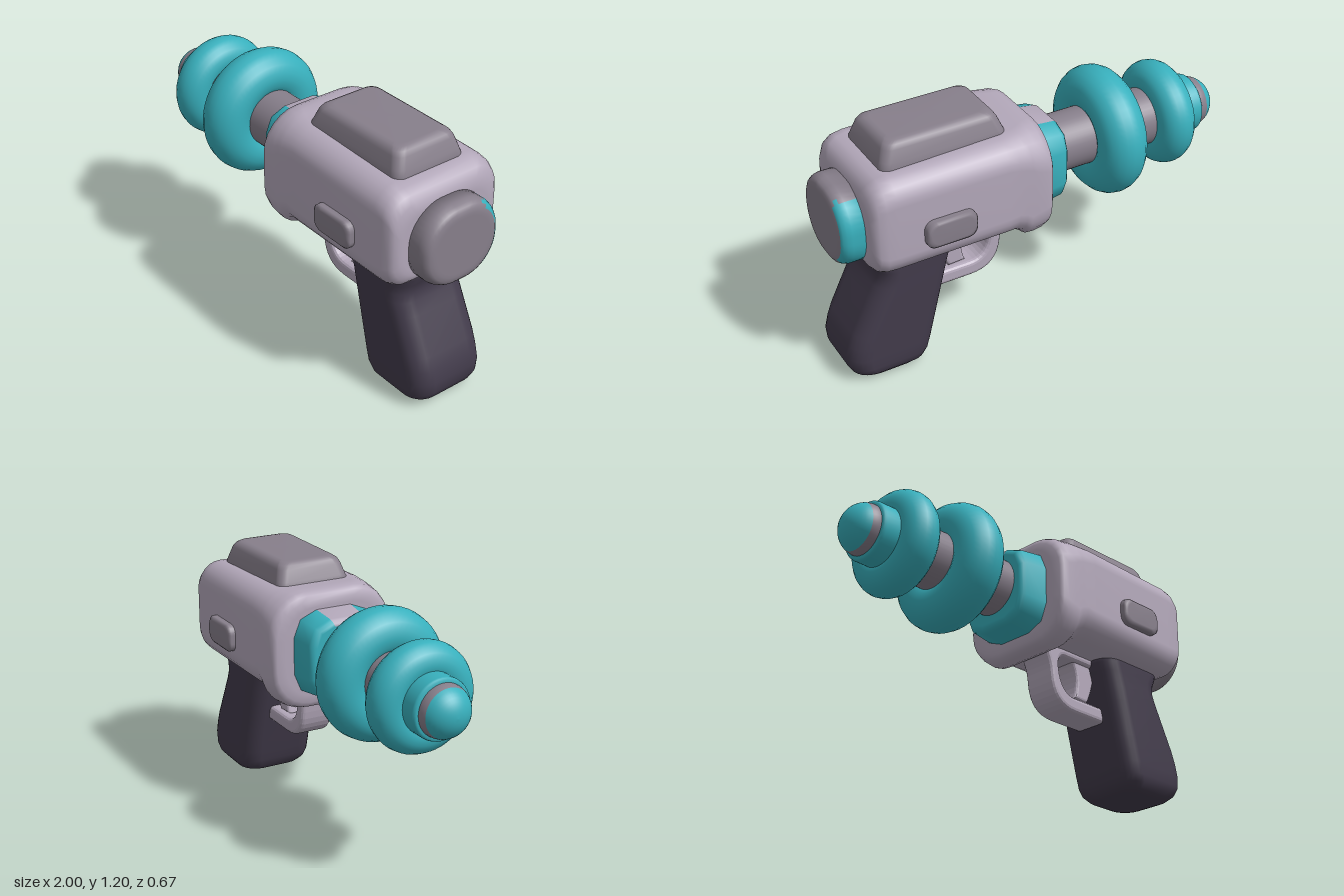
import * as THREE from 'three';

const mat = (name, color) => Object.assign(new THREE.MeshStandardMaterial({ color }), { name });

// Lofts rounded rectangles along an axis. Section: [t, a0, a1, b0, b1, cornerRadius].
// Axis x uses (a,b) = (y,z); axis y uses (z,x); axis z uses (x,y).
function loft(axis, sections, n = 6) {
  const pos = [], idx = [], m = 4 * (n + 1);
  const put = (t, a, b) => pos.push(...(axis === 'x' ? [t, a, b] : axis === 'y' ? [b, t, a] : [a, b, t]));
  for (const [t, a0, a1, b0, b1, rad] of sections) {
    const r = Math.min(rad, (a1 - a0) * 0.49, (b1 - b0) * 0.49);
    const corners = [[a1 - r, b1 - r], [a0 + r, b1 - r], [a0 + r, b0 + r], [a1 - r, b0 + r]];
    corners.forEach(([a, b], k) => {
      for (let i = 0; i <= n; i++) {
        const w = (k + i / n) * Math.PI / 2;
        put(t, a + r * Math.cos(w), b + r * Math.sin(w));
      }
    });
  }
  const last = sections.length - 1;
  for (let i = 0; i < last; i++) for (let j = 0; j < m; j++) {
    const p = i * m + j, q = i * m + (j + 1) % m;
    idx.push(p, q, q + m, p, q + m, p + m);
  }
  for (const [s, flip] of [[0, true], [last, false]]) {
    const [t, a0, a1, b0, b1] = sections[s], c = pos.length / 3;
    put(t, (a0 + a1) / 2, (b0 + b1) / 2);
    for (let j = 0; j < m; j++) {
      const p = s * m + j, q = s * m + (j + 1) % m;
      idx.push(c, flip ? q : p, flip ? p : q);
    }
  }
  const g = new THREE.BufferGeometry();
  g.setAttribute('position', new THREE.Float32BufferAttribute(pos, 3));
  g.setIndex(idx);
  g.computeVertexNormals();
  return g;
}

// Gives every quad material 1 where the rule holds for its centre, else material 0.
function paint(g, rule) {
  const p = g.attributes.position, v = new THREE.Vector3(), c = new THREE.Vector3();
  for (let i = 0; i < g.index.count; i += 6) {
    c.set(0, 0, 0);
    for (let k = 0; k < 6; k++) c.add(v.fromBufferAttribute(p, g.index.getX(i + k)));
    g.addGroup(i, 6, rule(c.divideScalar(6)) ? 1 : 0);
  }
  return g;
}

// Turned part along the barrel; points are [x, radius] from back to tip.
function turned(points) {
  const g = new THREE.LatheGeometry(points.map(([x, r]) => new THREE.Vector2(r, -x)), 40);
  return g.rotateZ(Math.PI / 2).translate(0, 0.838, 0);
}

// Flat side outline thickened across z with softened edges.
function slab(shape, halfZ, bevel) {
  const depth = 2 * (halfZ - bevel);
  return new THREE.ExtrudeGeometry(shape, {
    depth, bevelEnabled: true, bevelSize: bevel, bevelThickness: bevel, bevelOffset: -bevel,
    bevelSegments: 3, curveSegments: 8,
  }).translate(0, 0, -depth / 2);
}

export function createModel() {
  const group = new THREE.Group();
  const light = mat('paleMauve', 0xb3a8ba);
  const grey = mat('warmGrey', 0x877f8b);
  const teal = mat('teal', 0x38b0bd);
  const dark = mat('darkPlum', 0x423b4b);
  const add = (name, geo, material) => {
    const mesh = new THREE.Mesh(geo, material);
    mesh.name = name;
    group.add(mesh);
  };

  // Main housing, with a deeper lip at the front end
  add('body', loft('x', [
    [0.024, 0.62, 1.04, 0.24, 0.14], [0.028, 0.585, 1.07, 0.285, 0.17], [0.04, 0.562, 1.093, 0.303, 0.18],
    [0.07, 0.551, 1.105, 0.308, 0.18], [0.11, 0.55, 1.106, 0.308, 0.17], [0.14, 0.562, 1.104, 0.307, 0.15],
    [0.165, 0.59, 1.102, 0.306, 0.14], [0.2, 0.611, 1.1, 0.305, 0.13], [0.25, 0.615, 1.099, 0.305, 0.12],
    [0.78, 0.616, 1.085, 0.302, 0.11], [0.83, 0.618, 1.077, 0.3, 0.11], [0.865, 0.63, 1.055, 0.292, 0.11],
    [0.885, 0.65, 1.02, 0.275, 0.11], [0.892, 0.67, 0.99, 0.25, 0.11], [0.893, 0.69, 0.97, 0.23, 0.1],
  ].map(([x, y0, y1, hz, r]) => [x, y0, y1, -hz, hz, r])), light);

  // Raised cover on top
  add('topCover', loft('y', [
    [1.04, 0.188, 0.185, 0.795], [1.09, 0.185, 0.19, 0.79], [1.115, 0.178, 0.2, 0.782], [1.165, 0.163, 0.22, 0.765],
    [1.184, 0.152, 0.232, 0.752], [1.195, 0.135, 0.25, 0.735], [1.198, 0.115, 0.27, 0.715],
  ].map(([y, hz, x0, x1]) => [y, -hz, hz, x0, x1, 0.045])), grey);

  // Side buttons, showing on both flanks
  add('sideButtons', loft('z', [
    [-0.336, 0.02], [-0.334, 0.01], [-0.325, 0], [0.325, 0], [0.334, 0.01], [0.336, 0.02],
  ].map(([z, d]) => [z, 0.425 + d, 0.668 - d, 0.735 + d, 0.868 - d, 0.045])), grey);

  // Rear knob with a teal flash on one side
  const knob = loft('x', [
    [0.86, 0], [0.95, 0], [0.972, 0.005], [0.988, 0.014], [0.997, 0.027], [1, 0.045], [1, 0.06],
  ].map(([x, d]) => [x, 0.622 + d, 1.002 - d, -0.205 + d, 0.205 - d, 0.17 - d * 0.6]), 10);
  add('rearKnob', paint(knob, c => c.z < -0.115 && Math.abs(c.y - 0.805) < 0.165 && c.x < 0.996), [grey, teal]);

  // Faceted collar with a pale top face
  const collar = loft('x', [
    [-0.117, 0.16], [-0.115, 0.172], [-0.105, 0.184], [-0.09, 0.19], [0.02, 0.203], [0.05, 0.203],
  ].map(([x, h]) => [x, 0.825 - h, 0.825 + h, -h, h, h * 0.57]), 2);
  add('collar', paint(collar, c => c.y > 0.975 && Math.abs(c.z) < 0.09), [teal, light]);

  // Barrel and its rings
  add('barrel', turned([[-0.1, 0.137], [-0.82, 0.137]]), grey);
  for (const [name, x, outer, tube] of [['largeRing', -0.395, 0.307, 0.114], ['smallRing', -0.713, 0.25, 0.09]]) {
    const ring = new THREE.TorusGeometry(outer - tube, tube, 20, 56);
    add(name, ring.rotateY(Math.PI / 2).translate(x, 0.838, 0), teal);
  }
  add('muzzleRing', turned([
    [-0.79, 0.13], [-0.793, 0.137], [-0.8, 0.14], [-0.873, 0.14], [-0.883, 0.137], [-0.889, 0.129], [-0.89, 0.11], [-0.89, 0],
  ]), teal);

  // Domed nose: grey base and teal tip
  const dome = (from, to) => Array.from({ length: 9 }, (_, i) => {
    const w = from + (to - from) * i / 8;
    return [-0.89 - 0.11 * Math.sin(w), 0.12 * Math.cos(w)];
  });
  add('noseBase', turned([[-0.88, 0.12], ...dome(0, 0.37)]), grey);
  add('noseTip', turned(dome(0.37, Math.PI / 2)), teal);

  // Slanted hand grip
  add('grip', loft('y', [
    [0, 0.1, 0.7, 0.86], [0.004, 0.135, 0.655, 0.91], [0.015, 0.16, 0.628, 0.94], [0.04, 0.182, 0.605, 0.968],
    [0.075, 0.191, 0.59, 0.985], [0.13, 0.192, 0.575, 0.99], [0.19, 0.192, 0.56, 0.975], [0.25, 0.192, 0.545, 0.952],
    [0.42, 0.191, 0.502, 0.868], [0.48, 0.191, 0.487, 0.838], [0.52, 0.19, 0.476, 0.826], [0.56, 0.19, 0.464, 0.83],
    [0.6, 0.19, 0.452, 0.848], [0.66, 0.19, 0.44, 0.86],
  ].map(([y, hz, x0, x1]) => [y, -hz, hz, x0, x1, 0.09])), dark);

  // Trigger guard loop
  const guard = new THREE.Shape();
  guard.moveTo(0.13, 0.64);
  guard.bezierCurveTo(0.14, 0.56, 0.175, 0.56, 0.18, 0.47);
  guard.bezierCurveTo(0.19, 0.37, 0.24, 0.32, 0.34, 0.32);
  guard.lineTo(0.56, 0.32);
  guard.lineTo(0.56, 0.64);
  const hole = new THREE.Path();
  hole.moveTo(0.27, 0.585);
  hole.quadraticCurveTo(0.225, 0.58, 0.235, 0.51);
  hole.quadraticCurveTo(0.25, 0.395, 0.34, 0.395);
  hole.lineTo(0.52, 0.395);
  hole.lineTo(0.52, 0.585);
  guard.holes.push(hole);
  add('triggerGuard', slab(guard, 0.085, 0.02), light);

  // Trigger
  const trigger = new THREE.Shape();
  trigger.moveTo(0.32, 0.62);
  trigger.quadraticCurveTo(0.4, 0.53, 0.355, 0.405);
  trigger.lineTo(0.44, 0.4);
  trigger.quadraticCurveTo(0.49, 0.48, 0.5, 0.62);
  add('trigger', slab(trigger, 0.065, 0.015), light);

  return group;
}
